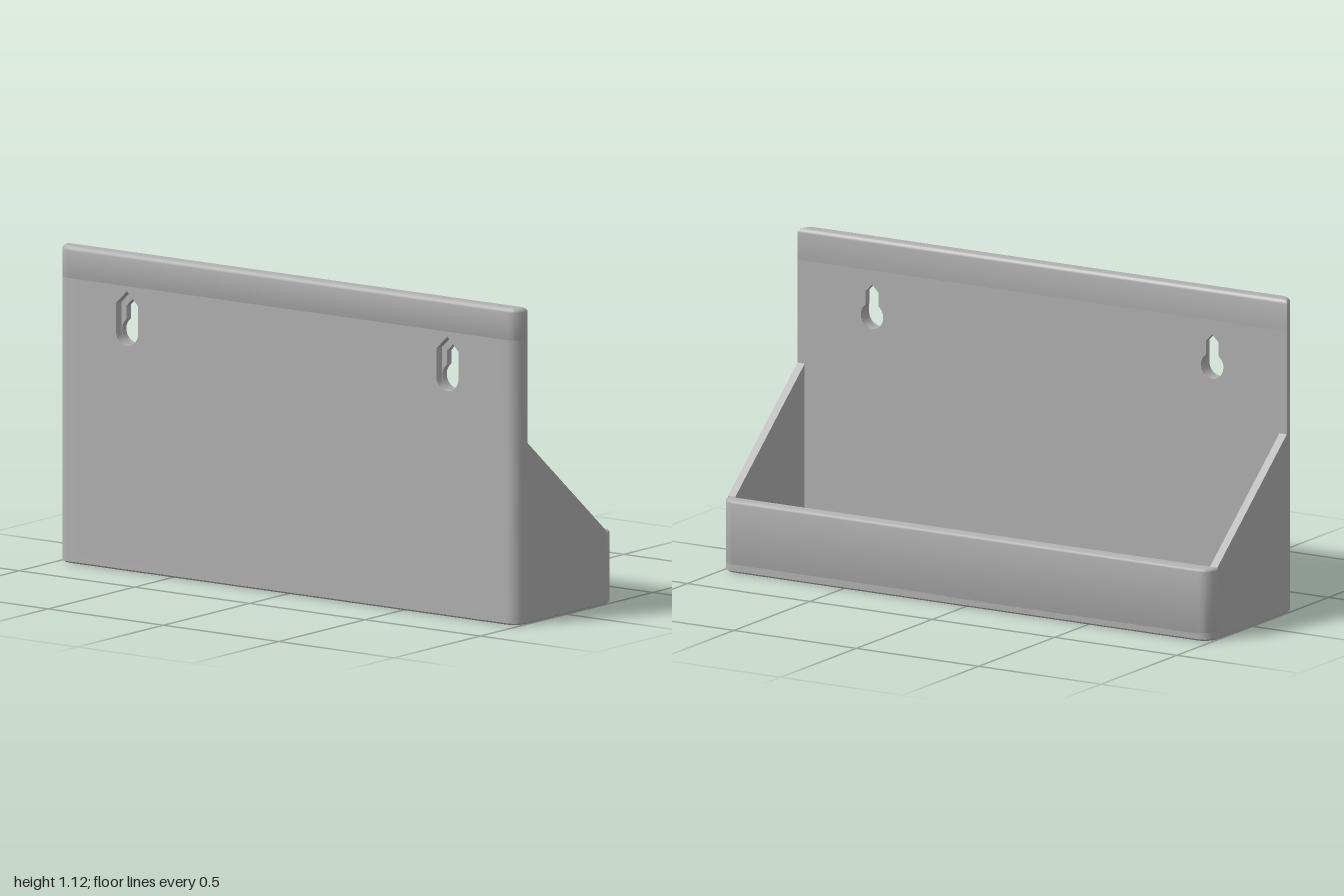
import * as THREE from 'three';
import { toCreasedNormals } from 'three/addons/utils/BufferGeometryUtils.js';

const W = 1, D = 0.283, R = 0.05;         // half width, half depth, corner radius
const PLATE = 0.225;                      // inner face of the mounting plate
const INX = 0.97, INZ = -0.255;           // inner faces of the side and low walls
const FLOOR = 0.03, FOOT = 0.006;

// points along an arc
function arc(cx, cy, r, a0, a1, n = 8) {
  return Array.from({ length: n + 1 }, (_, i) => {
    const a = a0 + (a1 - a0) * i / n;
    return new THREE.Vector2(cx + r * Math.cos(a), cy + r * Math.sin(a));
  });
}
const p = (x, y) => new THREE.Vector2(x, y);
const Q = Math.PI / 2;

// rounded rectangle; a fully rounded one is a slot
function roundedRect(cx, cy, hw, hh, r) {
  return [
    ...arc(cx + hw - r, cy + hh - r, r, 0, Q),
    ...arc(cx - hw + r, cy + hh - r, r, Q, 2 * Q),
    ...arc(cx - hw + r, cy - hh + r, r, 2 * Q, 3 * Q),
    ...arc(cx + hw - r, cy - hh + r, r, 3 * Q, 4 * Q),
  ];
}

function extrude(points, depth, holes = [], bevel = 0) {
  const shape = new THREE.Shape(points);
  shape.holes = holes.map(h => new THREE.Path(h));
  return new THREE.ExtrudeGeometry(shape, {
    depth: depth - 2 * bevel, bevelEnabled: bevel > 0, bevelSize: bevel,
    bevelThickness: bevel, bevelOffset: -bevel, bevelSegments: 4,
  }).translate(0, 0, bevel);
}

// footprint drawn in (x, -z), raised from y0 to y1
function raise(points, y0, y1, holes, bevel) {
  return extrude(points, y1 - y0, holes, bevel).rotateX(-Q).translate(0, y0, 0);
}

export function createModel() {
  const model = new THREE.Group();
  const grey = new THREE.MeshStandardMaterial({ color: 0xb0b0b0 });
  grey.name = 'grey plastic';
  const add = (name, geometry) => {
    const mesh = new THREE.Mesh(toCreasedNormals(geometry, 0.6), grey);
    mesh.name = name;
    model.add(mesh);
  };

  // floor with a row of drain slots and one long opening
  const slots = [roundedRect(0, -0.12, 0.438, 0.06, 0.0599)];
  for (let i = 0; i < 24; i++) {
    slots.push(roundedRect((i - 11.5) * 0.0733, 0.095, 0.0215, 0.075, 0.0214));
  }
  const outline = roundedRect(0, 0, W, D, R);
  add('floor', raise(outline, FOOT, FLOOR, slots));

  // thin foot layer, its outer lower edge drawn inwards
  const foot = raise(outline, 0, FOOT, slots);
  const pos = foot.attributes.position;
  for (let i = 0; i < pos.count; i++) {
    const x = pos.getX(i), z = pos.getZ(i);
    if (pos.getY(i) < 0.001 && (Math.abs(x) > 0.93 || Math.abs(z) > 0.22)) {
      pos.setX(i, x * (1 - FOOT / W));
      pos.setZ(i, z * (1 - FOOT / D));
    }
  }
  add('footEdge', foot);

  // low wall with rounded corners and rim
  add('lowWall', raise([
    p(W, 0.218), ...arc(W - R, D - R, R, 0, Q), ...arc(-W + R, D - R, R, Q, 2 * Q),
    p(-W, 0.218), p(-INX, 0.218), p(-INX, -INZ), p(INX, -INZ), p(INX, 0.218),
  ], 0.014, 0.258, [], 0.012));

  // sloping side walls
  const side = [p(-0.233, FLOOR), p(PLATE, FLOOR), p(PLATE, 0.64), p(-0.233, 0.258)];
  for (const [name, x] of [['leftWall', W], ['rightWall', -INX]]) {
    add(name, extrude(side, W - INX).rotateY(-Q).translate(x, 0, 0));
  }

  // sloped fillet between floor and walls
  const hi = 0.065, c = 0.032;
  const ring = [[-1, INZ, 1], [1, INZ, 1], [1, PLATE, -1], [-1, PLATE, -1]];
  const top = ring.map(([s, z]) => [s * INX, hi, z]);
  const low = ring.map(([s, z, d]) => [s * (INX - c), FLOOR, z + d * c]);
  const verts = [];
  for (let i = 0; i < 4; i++) {
    const j = (i + 1) % 4;
    verts.push(...top[i], ...low[i], ...low[j], ...top[i], ...low[j], ...top[j]);
  }
  const fillet = new THREE.BufferGeometry();
  fillet.setAttribute('position', new THREE.Float32BufferAttribute(verts, 3));
  fillet.computeVertexNormals();
  add('floorFillet', fillet);

  // mounting plate: lip layer with keyholes, outer layer with wider recesses
  const hx = 0.695, hy = 0.845, r = 0.046, n = 0.026;
  const a = Math.acos(n / r);
  const keyhole = x => [
    ...arc(x, hy, r, Math.PI - a, 2 * Math.PI + a, 20),
    p(x + n, 0.932), p(x, 0.958), p(x - n, 0.932),
  ];
  const recess = x => [
    ...arc(x, hy, 0.048, Math.PI, 2 * Math.PI, 16),
    p(x + 0.048, 0.943), p(x, 0.99), p(x - 0.048, 0.943),
  ];
  const EX = 0.9, SEAM = 1.008, LIP = 0.025;
  const panel = [p(-EX, FLOOR), p(EX, FLOOR), p(EX, SEAM), p(-EX, SEAM)];
  add('plateLip', extrude(panel, LIP, [keyhole(hx), keyhole(-hx)]).translate(0, 0, PLATE));
  add('plateOuter', extrude(panel, D - PLATE - LIP, [recess(hx), recess(-hx)])
    .translate(0, 0, PLATE + LIP));

  // rounded plate ends
  const corner = arc(W - R, -D + R, R, -Q, 0);
  const end = [p(EX, -PLATE), p(EX, -D), ...corner, p(W, -PLATE)];
  for (const [name, s] of [['plateLeftEnd', 1], ['plateRightEnd', -1]]) {
    add(name, raise(end.map(v => p(v.x * s, v.y)), FLOOR, SEAM));
  }

  // top band of the plate with rounded rim
  add('plateTop', raise([
    p(-W, -PLATE), ...corner.map(v => p(-v.x, v.y)).reverse(), ...corner, p(W, -PLATE),
  ], 0.993, 1.12, [], 0.015));

  return model;
}
